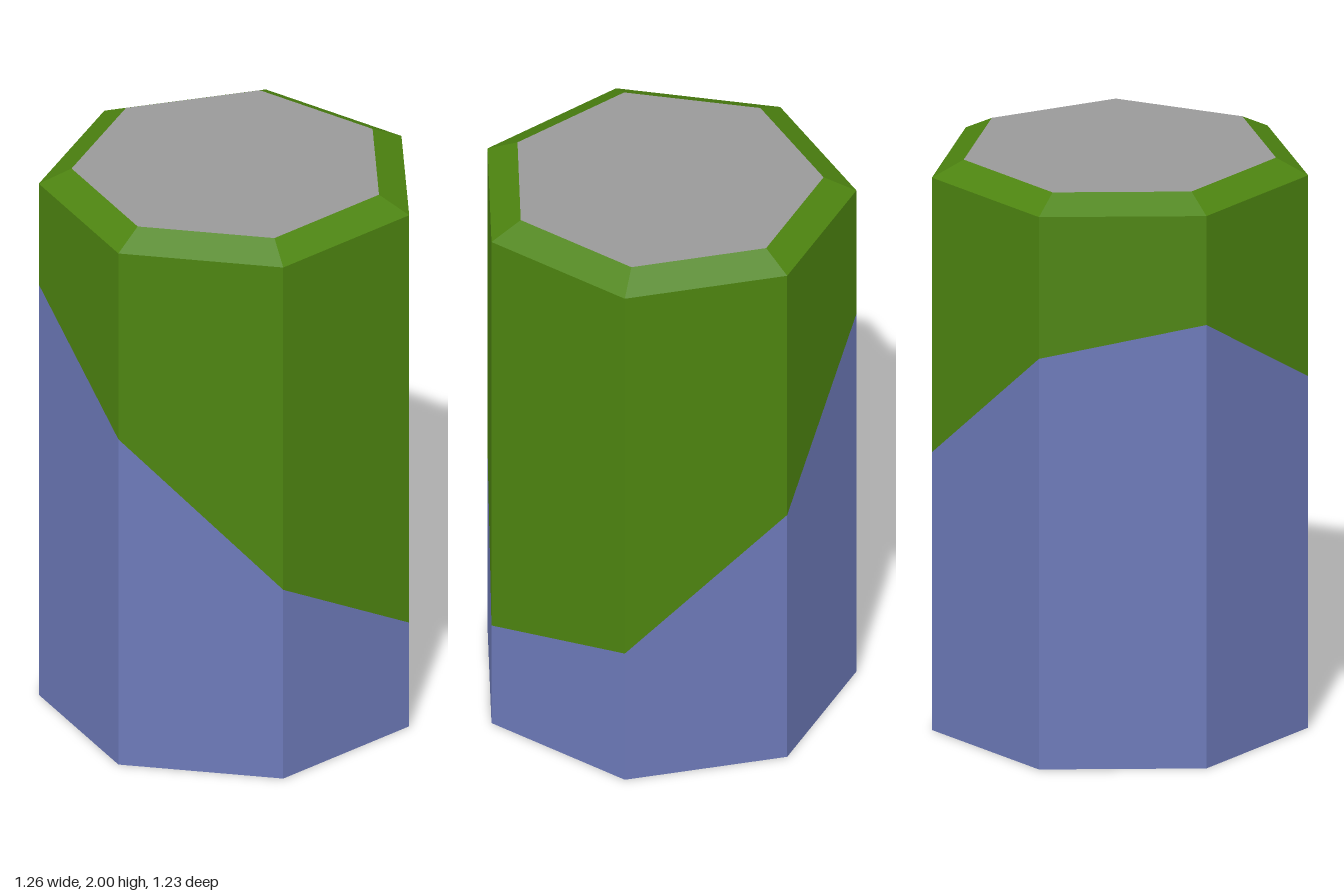
import * as THREE from 'three';

const SIDES = 7, OUTER = 0.647, INNER = 0.537, CENTRE_Z = 0.032;
const SHOULDER = 1.945, TOP = 2;

// Heptagon ring with one corner at the back; height is a function of x
function ring(radius, height) {
  return Array.from({ length: SIDES }, (_, i) => {
    const a = (i / SIDES) * Math.PI * 2;
    const x = radius * Math.sin(a);
    return [x, height(x), CENTRE_Z - radius * Math.cos(a)];
  });
}

// Flat-sided band between a lower and an upper ring
function band(lower, upper) {
  const out = [];
  for (let i = 0; i < SIDES; i++) {
    const j = (i + 1) % SIDES;
    out.push(lower[i], upper[i], upper[j], lower[i], upper[j], lower[j]);
  }
  return out;
}

// Flat polygon filling a ring
function cap(points, up) {
  const out = [];
  for (let i = 1; i < SIDES - 1; i++) {
    out.push(points[0], ...(up ? [points[i + 1], points[i]] : [points[i], points[i + 1]]));
  }
  return out;
}

function part(name, triangles, material) {
  const geometry = new THREE.BufferGeometry();
  geometry.setAttribute('position', new THREE.Float32BufferAttribute(triangles.flat(), 3));
  geometry.computeVertexNormals();
  const mesh = new THREE.Mesh(geometry, material);
  mesh.name = name;
  return mesh;
}

export function createModel() {
  const mat = (name, color) => {
    const m = new THREE.MeshStandardMaterial({ color });
    m.name = name;
    return m;
  };
  const green = mat('green', 0x4d8410);
  const blue = mat('blue', 0x6c79b8);
  const grey = mat('grey', 0x999999);

  const base = ring(OUTER, () => 0);
  const slant = ring(OUTER, (x) => 0.978 - 0.925 * x); // diagonal colour split
  const shoulder = ring(OUTER, () => SHOULDER);
  const rim = ring(INNER, () => TOP);

  const group = new THREE.Group();
  group.name = 'heptagonalColumn';
  group.add(
    part('lowerBody', [...band(base, slant), ...cap(base, false)], blue),
    part('upperBody', band(slant, shoulder), green),
    part('bevelledRim', band(shoulder, rim), green),
    part('topFace', cap(rim, true), grey),
  );
  return group;
}
